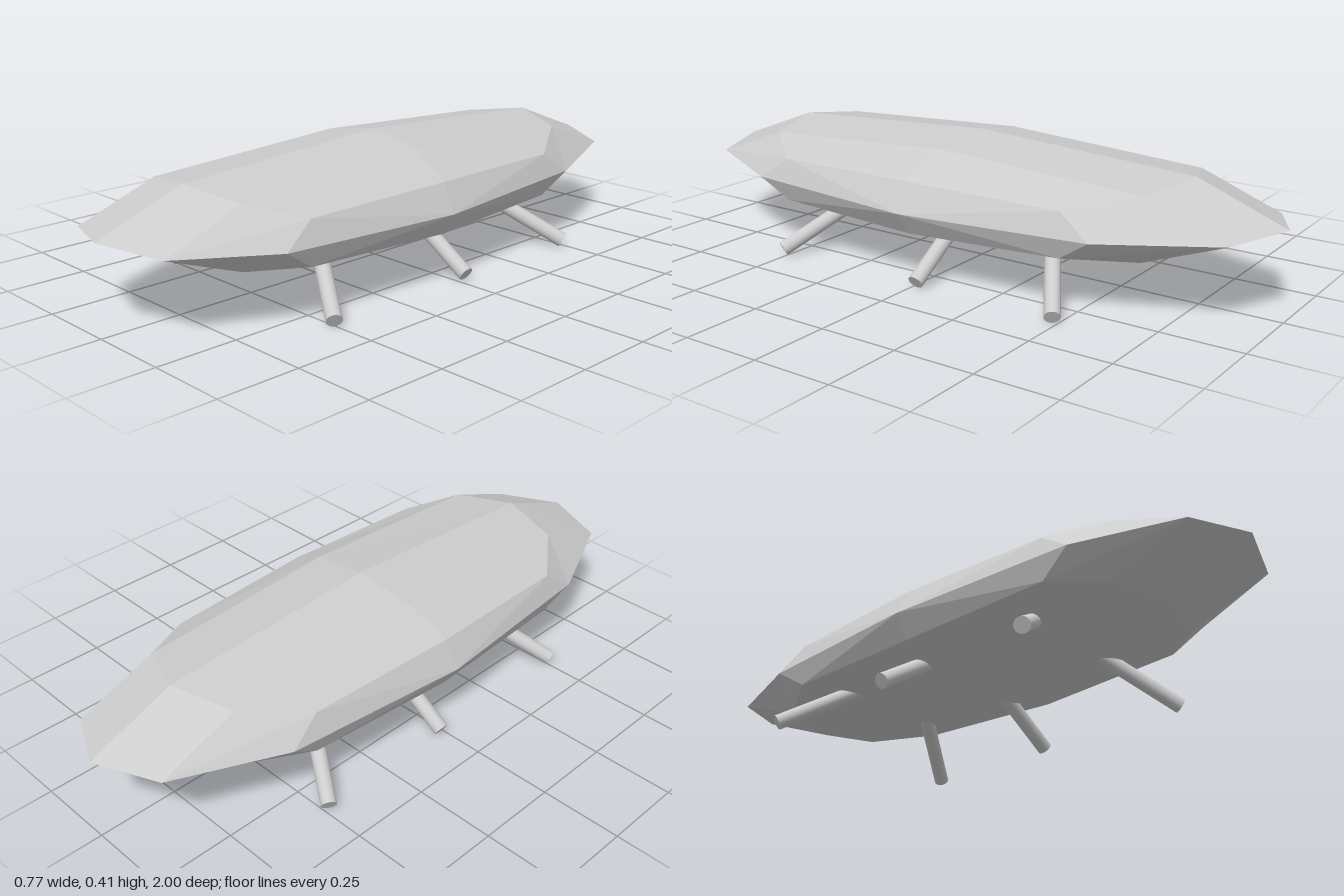
import * as THREE from 'three';

const grey = new THREE.MeshStandardMaterial({ color: 0xcccccc });
grey.name = 'light grey';

// Lengthwise hull loops from the centre line out to the side tip.
// rim, upper: half lengths and widths; y runs rim, shoulder, top, keel shoulder, keel.
const stations = [
  { x: [0, 0, 0], cz: 0, rim: 1, upper: 0.725, y: [0.265, 0.37, 0.41, 0.158, 0.119] },
  { x: [0.193, 0.19, 0.19], cz: 0.012, rim: 0.918, upper: 0.667, y: [0.25, 0.345, 0.38, 0.157, 0.122] },
  { x: [0.323, 0.305, 0.326], cz: 0.035, rim: 0.6, upper: 0.5, y: [0.23, 0.3, 0.308, 0.165, 0.15] },
  { x: [0.372, 0.372, 0.372], cz: 0.04, rim: 0, upper: 0, y: [0.22, 0.22, 0.22, 0.22, 0.22] },
];

// Eight points: front rim, over the top, back rim, along the keel
function loop({ x, cz, rim, upper, y }, side) {
  const point = (px, py, dz) => new THREE.Vector3(side * (px ? px + 0.01 * dz : 0), py, cz + dz);
  return [
    point(x[0], y[0], rim), point(x[1], y[1], upper), point(x[2], y[2], 0), point(x[1], y[1], -upper),
    point(x[0], y[0], -rim), point(x[1], y[3], -upper), point(x[2], y[4], 0), point(x[1], y[3], upper),
  ];
}

function hullGeometry() {
  const loops = [
    ...[3, 2, 1].map((i) => loop(stations[i], -1)),
    ...stations.map((s) => loop(s, 1)),
  ];
  const points = [];
  for (let i = 0; i < loops.length - 1; i++) {
    for (let j = 0; j < 8; j++) {
      const k = (j + 1) % 8;
      const a = loops[i][j], b = loops[i + 1][j], c = loops[i + 1][k], d = loops[i][k];
      // the tips close with single triangles
      if (i < loops.length - 2) points.push(a, b, c);
      else points.push(a, b, d);
      if (i > 0 && i < loops.length - 2) points.push(a, c, d);
    }
  }
  const geometry = new THREE.BufferGeometry().setFromPoints(points);
  geometry.computeVertexNormals();
  return geometry;
}

// Round leg between two points
function leg(name, from, to) {
  const axis = new THREE.Vector3().subVectors(from, to);
  const mesh = new THREE.Mesh(new THREE.CylinderGeometry(0.0235, 0.0235, axis.length(), 24), grey);
  mesh.position.addVectors(from, to).multiplyScalar(0.5);
  mesh.quaternion.setFromUnitVectors(new THREE.Vector3(0, 1, 0), axis.normalize());
  mesh.name = name;
  return mesh;
}

export function createModel() {
  const group = new THREE.Group();
  group.name = 'hullOnLegs';

  const hull = new THREE.Mesh(hullGeometry(), grey);
  hull.name = 'hull';
  group.add(hull);

  // Three splayed legs on each side: foot z and top z
  const legs = [['front', 0.51, 0.37], ['middle', -0.02, -0.02], ['back', -0.49, -0.35]];
  for (const [name, footZ, topZ] of legs) {
    for (const side of [-1, 1]) {
      group.add(leg(
        `${name}${side > 0 ? 'Left' : 'Right'}Leg`,
        new THREE.Vector3(side * 0.145, 0.165, topZ),
        new THREE.Vector3(side * 0.369, 0.0215, footZ),
      ));
    }
  }
  return group;
}
